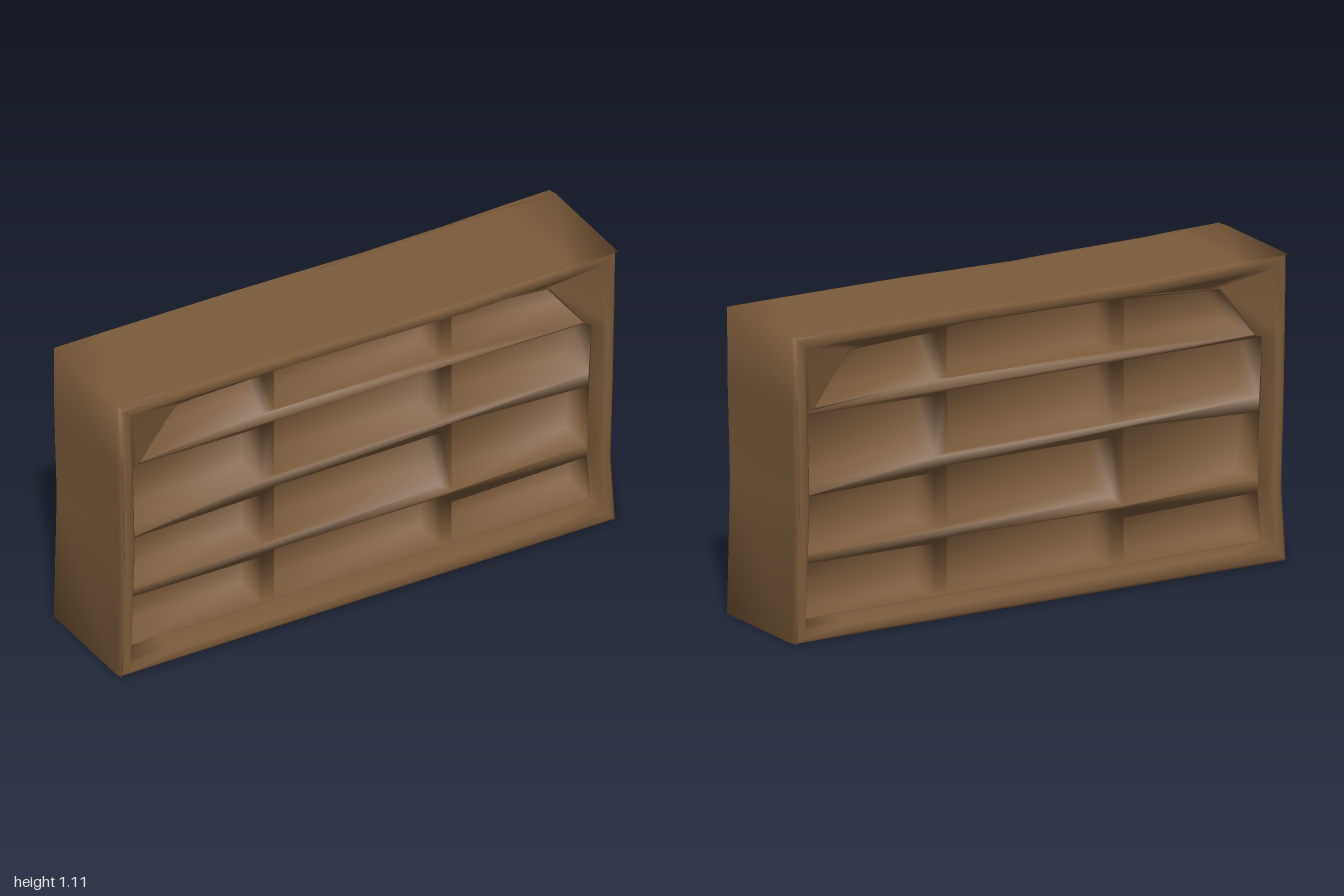
import * as THREE from 'three';
import { mergeGeometries, mergeVertices } from 'three/addons/utils/BufferGeometryUtils.js';

const FRONT = 0.23;   // front of the rim
const PANEL = 0.005;  // back of the compartments, close to the middle plane

// Front of shelves and dividers; the upper outer corners lean forward
const faceZ = (x, y) => (Math.abs(x) > 0.68 && y > 0.815 ? 0.18 : 0.145);

// Skins matching point loops [{pts, z}], counterclockwise from the front; z is a number or a rule.
function loft(loops, cap = false) {
  const n = loops[0].pts.length;
  const pos = [], idx = [];
  for (const { pts, z } of loops) for (const [x, y] of pts) pos.push(x, y, typeof z === 'number' ? z : z(x, y));
  for (let k = 0; k < loops.length - 1; k++) {
    for (let i = 0; i < n; i++) {
      const a = k * n + i, b = k * n + (i + 1) % n;
      idx.push(a, b, b + n, a, b + n, a + n);
    }
  }
  if (cap) {
    const s = (loops.length - 1) * n;
    for (let i = 1; i < n - 1; i++) idx.push(s, s + i, s + i + 1);
  }
  const g = new THREE.BufferGeometry();
  g.setAttribute('position', new THREE.Float32BufferAttribute(pos, 3));
  g.setIndex(idx);
  return g;
}

const mix = (a, b, t) => a.map(([x, y], i) => [x + (b[i][0] - x) * t, y + (b[i][1] - y) * t]);

// Uneven hand-hewn contours: outside, inner rim, and where the inside meets the shelves
const outer = [[-1, 0], [-0.8, 0], [0.8, 0], [0.995, 0], [0.977, 0.27], [0.986, 0.6], [0.99, 0.81], [0.991, 0.85],
  [0.995, 1.11], [0.8, 1.107], [0.4, 1.095], [-0.3, 1.108], [-0.8, 1.11], [-1, 1.11], [-0.998, 0.85], [-0.997, 0.81], [-0.988, 0.5]];
const inner = [[-0.95, 0.06], [-0.8, 0.06], [0.8, 0.06], [0.938, 0.06], [0.925, 0.27], [0.943, 0.6], [0.945, 0.81], [0.945, 0.85],
  [0.94, 1.06], [0.8, 1.056], [0.4, 1.047], [-0.3, 1.06], [-0.8, 1.06], [-0.95, 1.06], [-0.945, 0.85], [-0.942, 0.81], [-0.935, 0.5]];
const deep = [[-0.948, 0.06], [-0.8, 0.06], [0.8, 0.06], [0.938, 0.06], [0.926, 0.27], [0.94, 0.6], [0.942, 0.805], [0.897, 0.82],
  [0.752, 1.013], [0.7, 1.018], [0.37, 1.032], [-0.345, 1.046], [-0.69, 1.025], [-0.755, 1.024], [-0.9, 0.826], [-0.942, 0.805], [-0.937, 0.5]];

// Compartments per column: [bottom left, bottom right, top right, top left] heights
const columns = [
  { x: [-0.934, -0.385], rows: [[0.065, 0.065, 0.255, 0.26], [0.295, 0.305, 0.512, 0.5], [0.54, 0.565, 0.79, 0.8], [0.832, 0.845, 1.02, 1.02]] },
  { x: [-0.335, 0.335], rows: [[0.065, 0.065, 0.265, 0.27], [0.315, 0.315, 0.53, 0.53], [0.58, 0.58, 0.8, 0.8], [0.845, 0.84, 1.028, 1.04]] },
  { x: [0.38, 0.93], rows: [[0.065, 0.065, 0.24, 0.23], [0.275, 0.288, 0.53, 0.555], [0.605, 0.583, 0.8, 0.8], [0.842, 0.826, 1.009, 1.022]] },
];

// Corner points of every compartment; the top outer ones are cut back by the corner gussets
function compartments() {
  const cells = [];
  columns.forEach(({ x: [l, r], rows }, c) => rows.forEach(([bl, br, tr, tl], i) => {
    const q = [[l, bl], [r, br], [r, tr], [l, tl]];
    if (i === 0 && c === 2) q[2][0] = 0.922;
    if (i === 1 && c === 2) q[1][0] = 0.92;
    if (i === 3 && c === 0) { q[0][0] = -0.892; q[3][0] = -0.75; }
    if (i === 3 && c === 2) { q[1][0] = 0.888; q[2][0] = 0.746; }
    cells.push(q);
  }));
  return cells;
}

// Front edges of shelves and dividers joined smoothly to their recessed compartments
function shelvingGeometry() {
  const toV2 = (pts) => pts.map(([x, y]) => new THREE.Vector2(x, y));
  const cells = compartments();
  const shape = new THREE.Shape(toV2(deep));
  shape.holes = cells.map((q) => new THREE.Path(toV2(q)));
  const lattice = new THREE.ShapeGeometry(shape);
  lattice.deleteAttribute('uv');
  lattice.deleteAttribute('normal');
  const p = lattice.attributes.position;
  for (let i = 0; i < p.count; i++) p.setZ(i, faceZ(p.getX(i), p.getY(i)));
  const pockets = cells.map((q) => loft([{ pts: q, z: faceZ }, { pts: q, z: PANEL }], true));
  return mergeVertices(mergeGeometries([lattice, ...pockets]));
}

function createSide(material) {
  const side = new THREE.Group();
  const add = (name, geometry) => {
    geometry.computeVertexNormals();
    const m = new THREE.Mesh(geometry, material);
    m.name = name;
    side.add(m);
  };

  // Outer case with softly rounded rim and sloping inner walls
  add('caseFrame', loft([
    { pts: outer, z: -FRONT },
    { pts: outer, z: FRONT - 0.03 },
    { pts: mix(outer, inner, 0.06), z: FRONT - 0.008 },
    { pts: mix(outer, inner, 0.25), z: FRONT },
    { pts: mix(outer, inner, 0.75), z: FRONT },
    { pts: inner, z: FRONT - 0.015 },
    { pts: deep, z: faceZ },
  ]));

  add('shelvesAndCompartments', shelvingGeometry());
  return side;
}

export function createModel() {
  const model = new THREE.Group();
  model.name = 'doubleSidedShelf';
  const wood = new THREE.MeshStandardMaterial({ color: 0x7b5a3a });

  // The same shelving faces both ways
  ['frontShelving', 'backShelving'].forEach((name, i) => {
    const side = createSide(wood);
    side.name = name;
    side.rotation.y = i * Math.PI;
    model.add(side);
  });
  return model;
}
